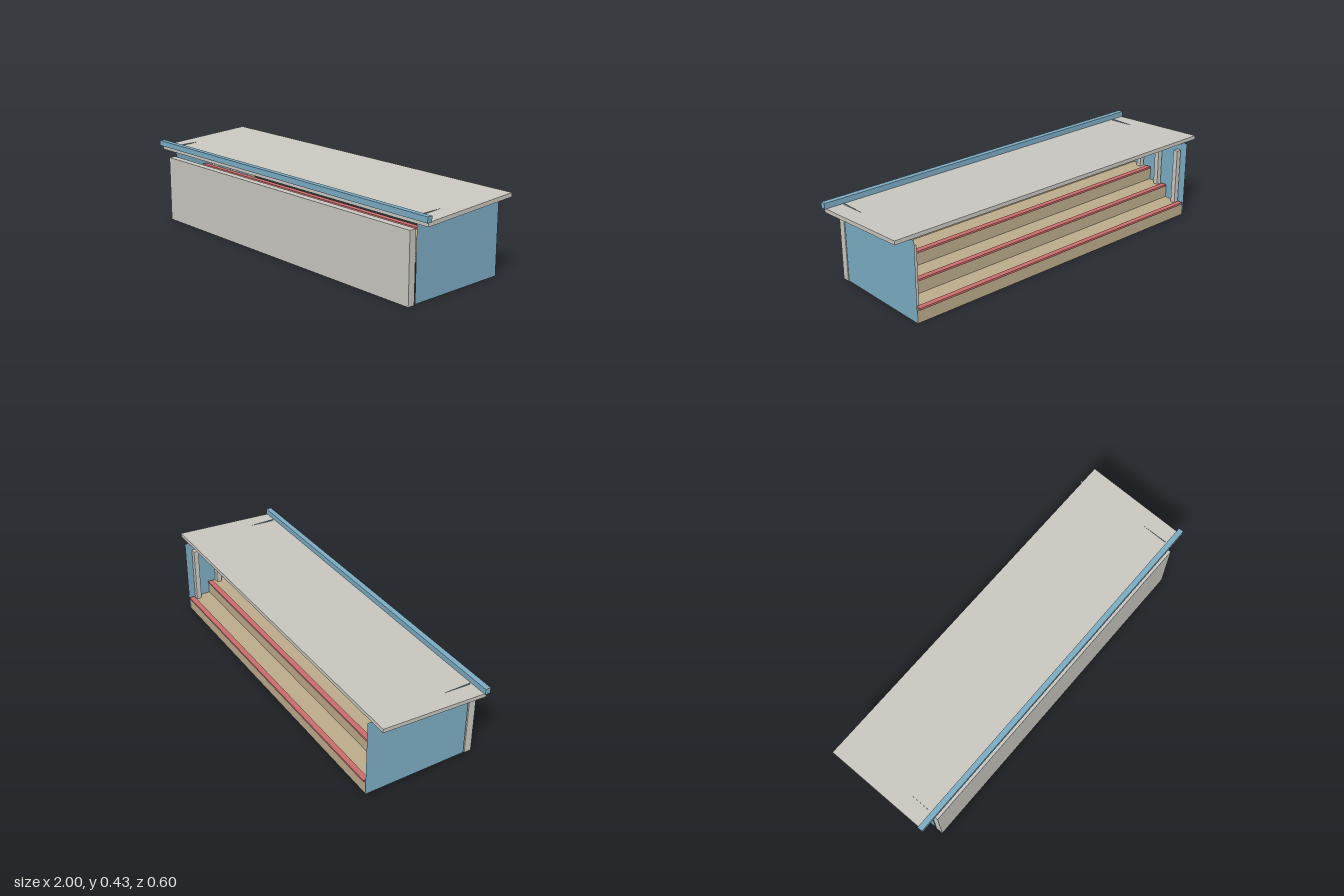
import * as THREE from 'three';

const mat = (name, color, side = THREE.FrontSide) => {
  const m = new THREE.MeshStandardMaterial({ color, side });
  m.name = name;
  return m;
};

export function createModel() {
  const model = new THREE.Group();
  model.name = 'barCounter';
  const grey = mat('warmGrey', 0xc8c6bf);
  const blue = mat('softBlue', 0x7babc2, THREE.DoubleSide);
  const red = mat('dustyRed', 0xc96c6c);
  const tan = mat('tan', 0xbcab8b);

  // box given by its limits on each axis
  const box = (name, material, [x0, x1], [y0, y1], [z0, z1]) => {
    const mesh = new THREE.Mesh(new THREE.BoxGeometry(x1 - x0, y1 - y0, z1 - z0), material);
    mesh.position.set((x0 + x1) / 2, (y0 + y1) / 2, (z0 + z1) / 2);
    mesh.name = name;
    model.add(mesh);
    return mesh;
  };

  // front board and the rail along the counter's front edge
  box('frontPanel', grey, [-0.905, 0.905], [0, 0.353], [0.262, 0.3]);
  box('frontRail', blue, [-1, 1], [0.404, 0.433], [0.267, 0.295]);

  // sloping countertop, sheared so its ends stay upright
  const top = new THREE.BoxGeometry(1.985, 0.0205, 0.557);
  const p = top.attributes.position;
  for (let i = 0; i < p.count; i++) p.setY(i, p.getY(i) - p.getZ(i) * 0.0535);
  top.computeVertexNormals();
  const counter = new THREE.Mesh(top, grey);
  counter.name = 'countertop';
  counter.position.set(0, 0.4083, 0.0015);
  model.add(counter);

  // stepped shelves rising towards the front, each with a lip on its edge
  for (let i = 0; i < 4; i++) {
    const y = i * 0.07, z = -0.293 + i * 0.12;
    box('shelfTier' + (i + 1), tan, [-0.9, 0.9], [y, y + 0.068], [z, z + 0.128]);
    box('shelfLip' + (i + 1), red, [-0.89, 0.89], [y + 0.066, y + 0.076], [z - 0.007, z + 0.022]);
  }

  for (const s of [1, -1]) {
    const side = s > 0 ? 'left' : 'right';
    // thin end panel
    const panel = new THREE.Mesh(new THREE.PlaneGeometry(0.553, 0.41), blue);
    panel.name = side + 'SidePanel';
    panel.rotation.y = s * Math.PI / 2;
    panel.position.set(s * 0.904, 0.208, -0.0205);
    model.add(panel);
    // upright posts inside the end panel
    for (let i = 0; i < 3; i++) {
      const z = -0.25 + i * 0.13, y = 0.015 + i * 0.022, x = s * 0.882;
      box(side + 'Post' + (i + 1), grey, [x - 0.014, x + 0.014], [y, y + 0.355], [z - 0.013, z + 0.013]);
    }
  }
  return model;
}
